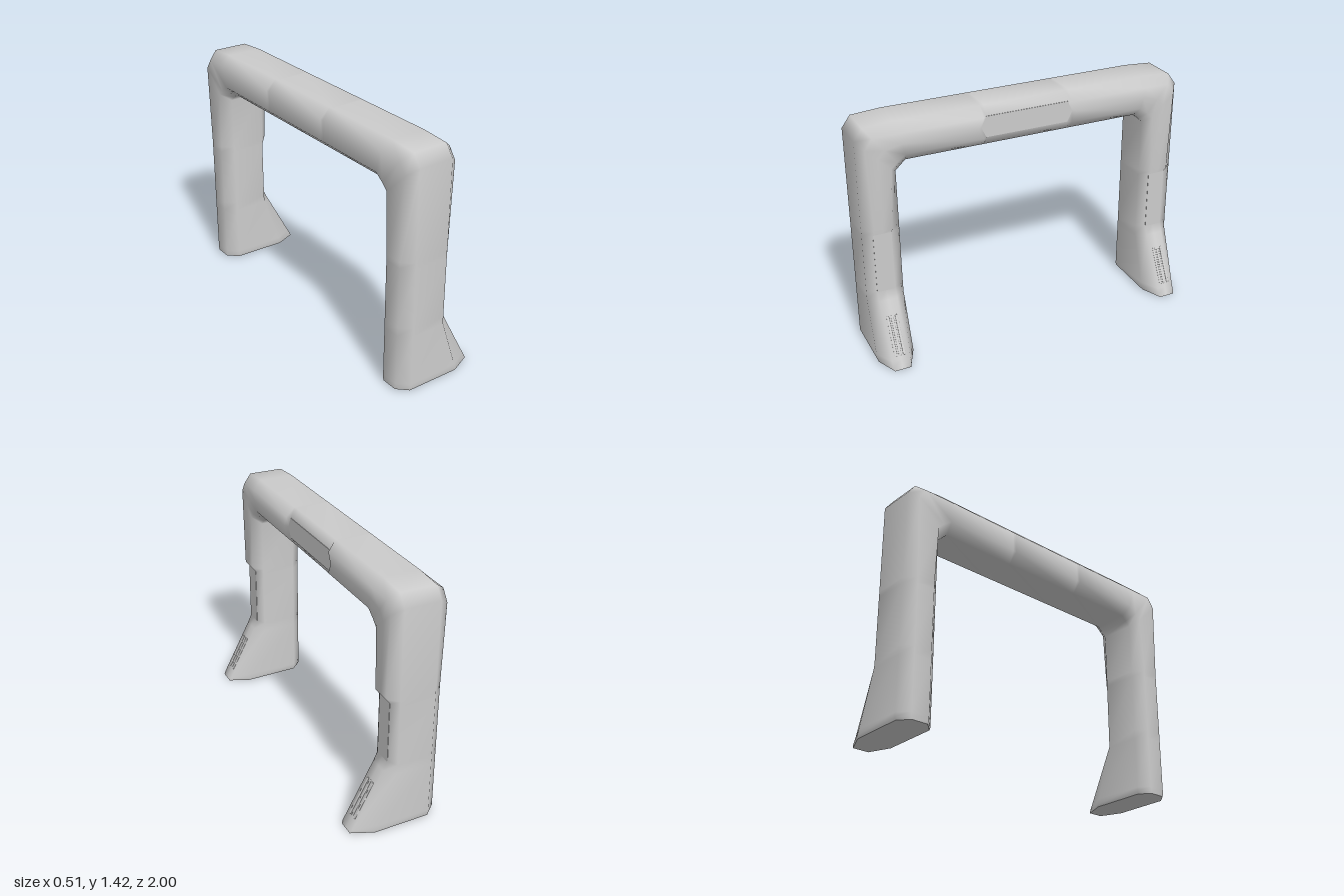
import * as THREE from 'three';

const material = new THREE.MeshStandardMaterial({ color: 0xcccccc });
const BACK = -0.26, BACK_CHAMFER = -0.2, CHAMFER = 0.056;

// Half of the frame, foot to mid beam:
// [inner z, inner y, outer z, outer y, front x, front chamfer x, tip shift in z]
const half = [
  [0.786, 0, 0.994, 0, 0.255, 0.13, 0],
  [0.78, 0.016, 1, 0.016, 0.246, 0.125, 0],
  [0.78, 0.05, 1, 0.05, 0.228, 0.115, 0],
  [0.78, 0.36, 1, 0.36, 0.064, 0.012, 0],
  [0.78, 0.415, 1, 0.415, 0.039, 0.01, 0],
  [0.78, 0.775, 1, 0.775, 0.039, 0.01, 0],
  [0.78, 0.81, 1, 0.81, 0.065, 0.01, 0],
  [0.78, 1.13, 1, 1.34, 0.065, 0.01, 0],
  [0.75, 1.158, 0.95, 1.408, 0.065, 0.01, 0],
  [0.72, 1.185, 0.78, 1.42, 0.065, 0.01, 0],
  [0.275, 1.185, 0.275, 1.42, 0.065, 0.01, 0.03],
  [0.252, 1.185, 0.252, 1.42, 0.045, 0.01, 0.03],
];

// Chamfered cross-section between the inner and outer line of the frame
function ring([iz, iy, oz, oy, front, side, tip]) {
  const t = Math.hypot(oz - iz, oy - iy);
  const section = [
    [front, CHAMFER], [front, t / 2], [front, t - CHAMFER], [side, t], [BACK_CHAMFER, t],
    [BACK, t - CHAMFER], [BACK, CHAMFER], [BACK_CHAMFER, 0], [side, 0],
  ];
  return section.map(([x, d], k) => {
    const f = d / t;
    const tilt = iy < 0.02 ? 0.01 * (0.255 - x) / 0.515 : 0;
    return [x, iy + (oy - iy) * f + tilt, iz + (oz - iz) * f + (k === 1 ? tip : 0)];
  });
}

function frameGeometry() {
  const mirrored = half.map(([iz, iy, oz, oy, f, s, tip]) => [-iz, iy, -oz, oy, f, s, -tip]).reverse();
  const rings = [...half, ...mirrored].map(ring);
  const n = rings[0].length, last = rings.length - 1;
  const points = rings.flat(), index = [];
  for (let i = 0; i < last; i++) {
    for (let j = 0; j < n; j++) {
      const a = i * n + j, b = i * n + (j + 1) % n, c = a + n, d = b + n;
      index.push(a, c, b, b, c, d);
    }
  }
  // Flat soles with their own vertices
  for (const i of [0, last]) {
    const base = points.length;
    points.push(...rings[i]);
    for (let k = 1; k < n - 1; k++) {
      if (i === 0) index.push(base, base + k, base + k + 1);
      else index.push(base, base + k + 1, base + k);
    }
  }
  const geometry = new THREE.BufferGeometry();
  geometry.setAttribute('position', new THREE.Float32BufferAttribute(points.flat(), 3));
  geometry.setIndex(index);
  geometry.computeVertexNormals();
  return geometry;
}

// Flat plate facing +x, outlined by [z, y] points
function plate(name, outline, x) {
  const shape = new THREE.Shape(outline.map(([z, y]) => new THREE.Vector2(-z, y)));
  const geometry = new THREE.ExtrudeGeometry(shape, { depth: 0.01, bevelEnabled: false });
  geometry.rotateY(Math.PI / 2);
  const mesh = new THREE.Mesh(geometry, material);
  mesh.name = name;
  mesh.position.x = x - 0.01;
  return mesh;
}

export function createModel() {
  const model = new THREE.Group();
  model.name = 'archFrame';

  const frame = new THREE.Mesh(frameGeometry(), material);
  frame.name = 'frame';
  model.add(frame);

  // Pointed panel set into the beam
  model.add(plate('beamPanel', [
    [0.285, 1.303], [0.254, 1.24], [-0.254, 1.24], [-0.285, 1.303], [-0.254, 1.365], [0.254, 1.365],
  ], 0.047));

  const slope = Math.atan2(0.19, 0.36);
  for (const side of [1, -1]) {
    // Leg panel with clipped corners
    const z0 = 0.89, w = 0.054, c = 0.012, low = 0.405, high = 0.79;
    const outline = [
      [w, low + c], [w - c, low], [c - w, low], [-w, low + c],
      [-w, high - c], [c - w, high], [w - c, high], [w, high - c],
    ].map(([z, y]) => [side * z0 + z, y]);
    model.add(plate('legPanel', outline, 0.041));

    // Three slim grip ribs on the sloping foot
    for (const dz of [-0.026, 0, 0.026]) {
      const rib = new THREE.Mesh(new THREE.CapsuleGeometry(0.008, 0.22, 4, 10), material);
      rib.name = 'footRib';
      rib.scale.x = 0.35;
      rib.position.set(0.1626, 0.175, side * z0 + dz);
      rib.rotation.z = slope;
      model.add(rib);
    }
  }
  return model;
}
